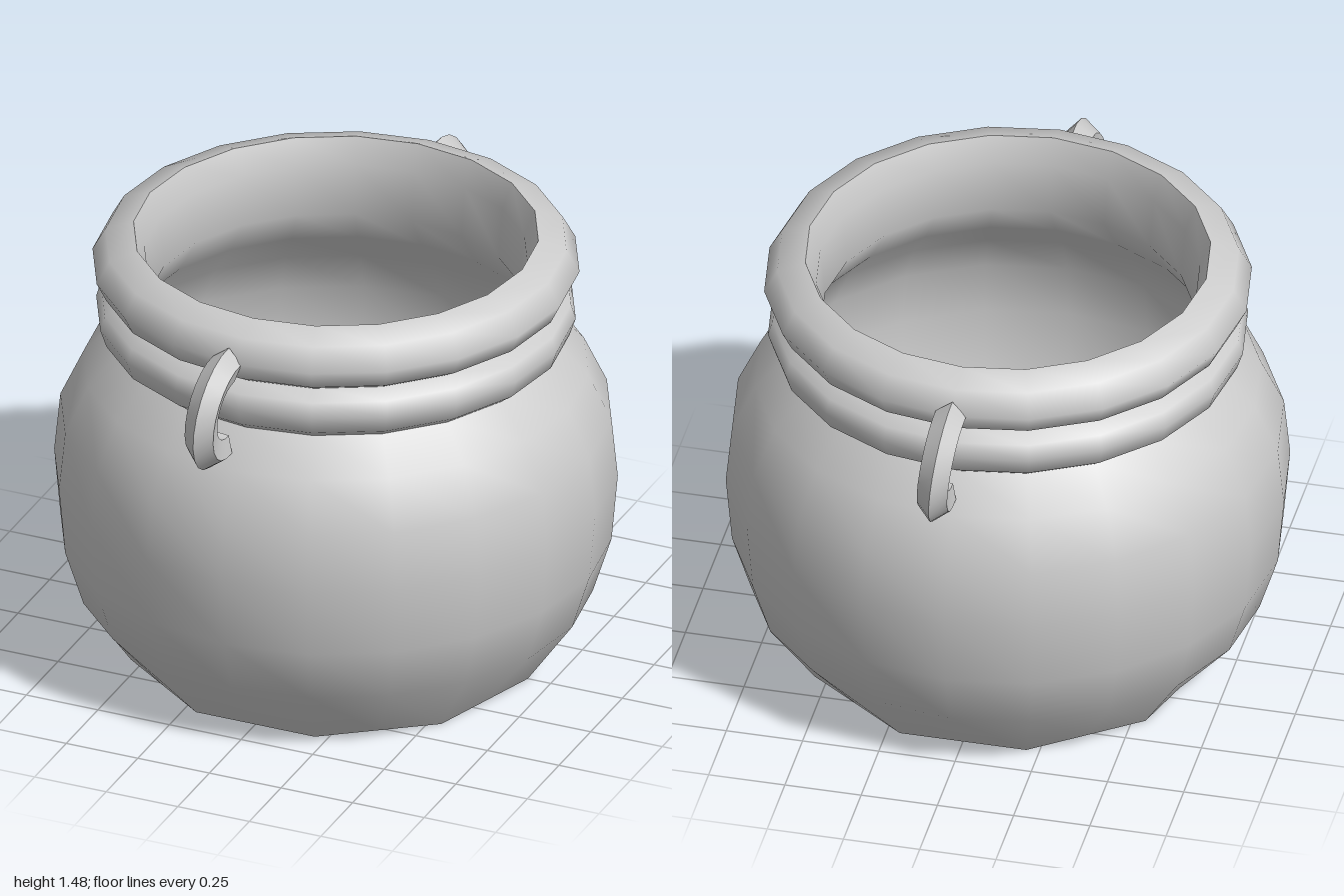
import * as THREE from 'three';
import { toCreasedNormals } from 'three/addons/utils/BufferGeometryUtils.js';

const SIDES = 20;
const BASE_RADIUS = 0.67;

// Turned surface from [radius, height] pairs; rising profiles face outward
function turned(pairs, sides = SIDES, start = 0, length = Math.PI * 2) {
  return new THREE.LatheGeometry(pairs.map(([r, y]) => new THREE.Vector2(r, y)), sides, start, length);
}

export function createModel() {
  const group = new THREE.Group();
  const clay = new THREE.MeshStandardMaterial({ color: 0xcccccc });
  clay.name = 'grey clay';

  function add(name, geometry) {
    const mesh = new THREE.Mesh(geometry, clay);
    mesh.name = name;
    group.add(mesh);
    return mesh;
  }

  // Round belly; the foot edge narrows to ten straight sides
  const belly = turned([
    [BASE_RADIUS, 0], [0.825, 0.22], [0.885, 0.41], [0.905, 0.64],
    [0.885, 0.84], [0.81, 1.0], [0.71, 1.11],
  ]);
  const pos = belly.attributes.position;
  const rowLength = 7;
  for (let i = 0; i <= SIDES; i += 2) {
    const k = i * rowLength;
    const pull = Math.cos(Math.PI / 10);
    pos.setX(k, pos.getX(k) * pull);
    pos.setZ(k, pos.getZ(k) * pull);
  }
  add('belly', belly);
  add('base', new THREE.CircleGeometry(BASE_RADIUS, 10).rotateX(Math.PI / 2));

  // Two rounded bands around the neck
  add('neckBand', turned([[0.71, 1.11], [0.75, 1.14], [0.77, 1.2], [0.755, 1.25], [0.7, 1.28]]));
  add('rim', turned([[0.7, 1.275], [0.75, 1.305], [0.782, 1.37], [0.74, 1.445], [0.65, 1.475]]));

  // Hollow inside with a narrow neck and a flat floor
  add('innerWall', turned([
    [0.65, 1.475], [0.615, 1.39], [0.6, 1.22], [0.67, 1.1], [0.77, 0.98],
    [0.845, 0.83], [0.865, 0.64], [0.845, 0.42], [0.78, 0.24], [0.63, 0.05],
  ]));
  add('floor', new THREE.CircleGeometry(0.64, SIDES).rotateX(-Math.PI / 2).translate(0, 0.05, 0));

  // Half-ring handles with a ridged outer edge, leaning slightly
  const ring = turned([
    [0.1, -0.035], [0.165, -0.05], [0.21, 0], [0.165, 0.05], [0.1, 0.035], [0.1, -0.035],
  ], 12, -1.68, 3.36).rotateZ(Math.PI / 2);
  const handle = toCreasedNormals(ring, 0.6);
  const front = add('frontHandle', handle);
  front.position.set(-0.055, 1.21, 0.79);
  front.rotation.z = -0.1;
  const back = add('backHandle', handle);
  back.position.set(0.025, 1.21, -0.79);
  back.rotation.set(0, Math.PI, -0.1);

  return group;
}
